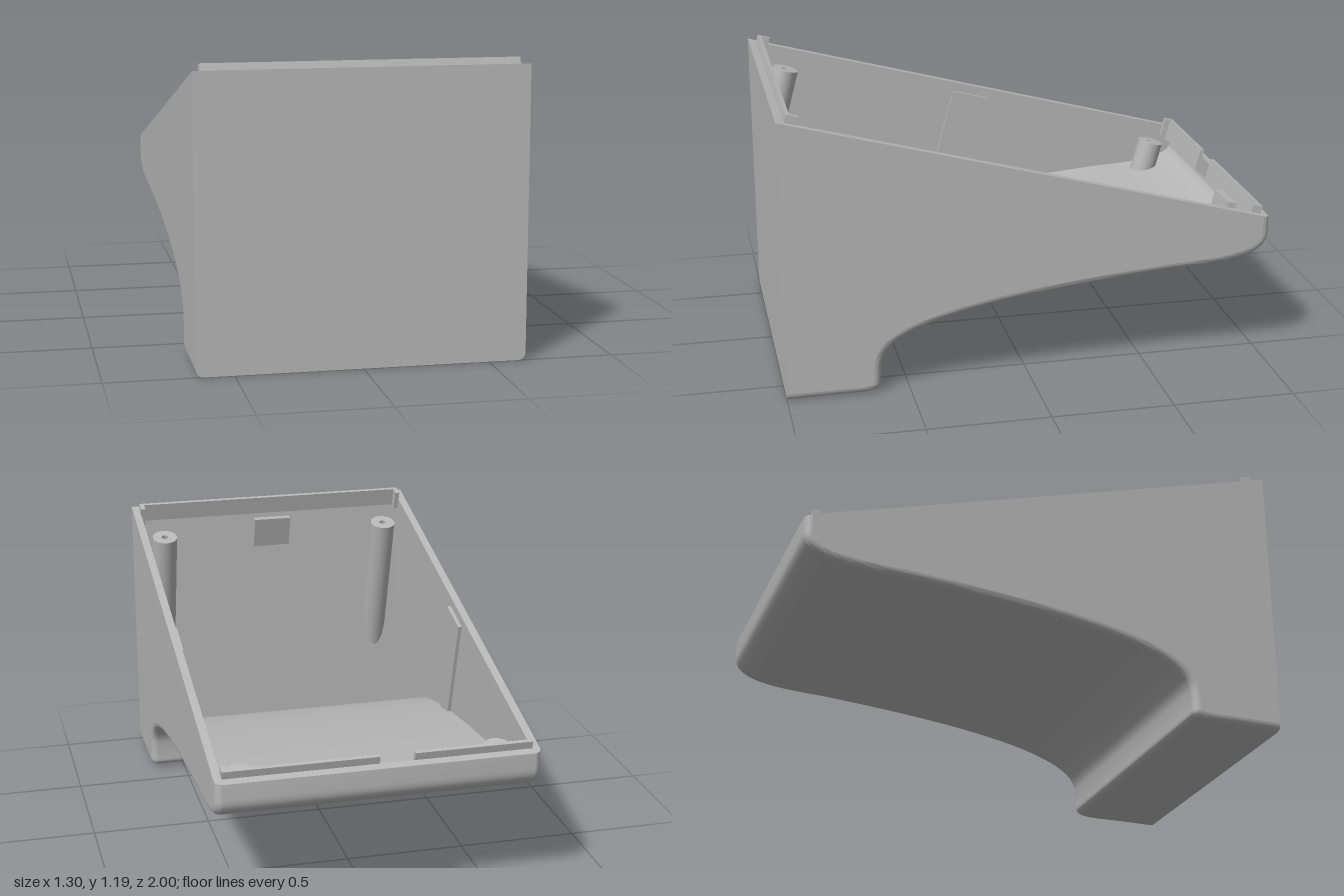
import * as THREE from 'three';
import { toCreasedNormals } from 'three/addons/utils/BufferGeometryUtils.js';

const HALF = 0.648, ROUND = 0.03, WALL = 0.033;
const INNER_X = HALF - WALL, INNER_Z = 1 - WALL;
const SLOPE = 0.2675, TILT = Math.atan(SLOPE);
const rimY = z => 0.895 + SLOPE * z;

// Underside curve in (z, y), from the front foot to the back rim
function undersidePoints() {
  const p = new THREE.Path();
  p.moveTo(1, 0);
  p.lineTo(0.85, 0.002);
  p.bezierCurveTo(0.70, 0.005, 0.615, -0.01, 0.62, 0.05);
  p.lineTo(0.615, 0.13);
  p.bezierCurveTo(0.60, 0.30, 0.05, 0.38, -0.6, 0.43);
  p.bezierCurveTo(-0.85, 0.44, -1, 0.46, -1, 0.56);
  p.lineTo(-1, rimY(-1));
  return p.getPoints(20);
}
const UNDERSIDE = undersidePoints();

// Underside moved inward by d, ending on the sloped rim
function inset(d, maxZ = 1) {
  const last = UNDERSIDE.length - 1;
  return UNDERSIDE.map((p, i) => {
    const a = UNDERSIDE[Math.max(i - 1, 0)], b = UNDERSIDE[Math.min(i + 1, last)];
    const t = b.clone().sub(a).normalize();
    const q = new THREE.Vector2(p.x + t.y * d, p.y - t.x * d);
    if (i === 0) q.x = 1;
    q.x = Math.min(q.x, maxZ);
    if (i === last) q.y = rimY(q.x);
    return q;
  });
}

// Skin through cross-sections given as [x, points in (z, y)]
function skin(sections) {
  const n = sections[0][1].length, pos = [], idx = [];
  for (const [x, pts] of sections) for (const p of pts) pos.push(x, p.y, p.x);
  for (let s = 0; s < sections.length - 1; s++) {
    for (let i = 0; i < n - 1; i++) {
      const a = s * n + i, b = a + n;
      idx.push(a, a + 1, b, b, a + 1, b + 1);
    }
  }
  const g = new THREE.BufferGeometry();
  g.setAttribute('position', new THREE.Float32BufferAttribute(pos, 3));
  g.setIndex(idx);
  return toCreasedNormals(g, 0.6);
}

// Flat face whose 2D corners are placed in space by a rule
function face(points, place, hole) {
  const shape = new THREE.Shape(points);
  if (hole) shape.holes.push(new THREE.Path(hole));
  const g = new THREE.ShapeGeometry(shape), p = g.attributes.position;
  for (let i = 0; i < p.count; i++) p.setXYZ(i, ...place(p.getX(i), p.getY(i)));
  g.computeVertexNormals();
  return g;
}

// Prism with a (z, y) outline, running from x0 to x1
function prism(outline, x0, x1) {
  const g = new THREE.ExtrudeGeometry(new THREE.Shape(outline.map(p => new THREE.Vector2(-p[0], p[1]))),
    { depth: x1 - x0, bevelEnabled: false });
  return g.rotateY(Math.PI / 2).translate(x0, 0, 0);
}

// Hollow screw post square to the rim, trimmed inside the shell
function post(x, y, z, length, maxZ, minY) {
  const pts = [[0, -0.08], [0.015, -0.08], [0.015, -0.08], [0.015, 0], [0.015, 0], [0.056, 0], [0.056, 0]];
  for (let i = 1; i <= 24; i++) pts.push([0.056, -length * i / 24]);
  const g = toCreasedNormals(new THREE.LatheGeometry(pts.map(p => new THREE.Vector2(...p)).reverse(), 32), 0.6);
  g.rotateX(-TILT).translate(x, y, z);
  const p = g.attributes.position;
  for (let i = 0; i < p.count; i++) {
    p.setZ(i, Math.min(p.getZ(i), maxZ));
    p.setY(i, Math.max(p.getY(i), minY));
  }
  return g;
}

export function createModel() {
  const model = new THREE.Group();
  model.name = 'slopedEnclosure';
  const grey = new THREE.MeshStandardMaterial({ color: 0xb8b8b8, side: THREE.DoubleSide });
  grey.name = 'grey plastic';
  const add = (name, geometry, parent = model) => {
    const m = new THREE.Mesh(geometry, grey);
    m.name = name;
    parent.add(m);
    return m;
  };
  const V = (x, y) => new THREE.Vector2(x, y);

  // Rounded cross-sections from one side to the other: [x, inset]
  const right = [];
  for (let k = 0; k <= 6; k++) {
    const a = k / 6 * Math.PI / 2;
    right.push([HALF - ROUND + ROUND * Math.sin(a), ROUND * (1 - Math.cos(a))]);
  }
  const across = [...right.map(([x, d]) => [-x, d]).reverse(), ...right];

  // Outer shell
  add('underside', skin(across.map(([x, d]) => [x, inset(d)])));
  add('frontPanel', face([...across.map(([x, d]) => V(x, d)), V(HALF, rimY(1)), V(-HALF, rimY(1))],
    (x, y) => [x, y, 1]));

  // Inner shell
  const inner = inset(WALL, INNER_Z);
  add('innerFloor', skin([[INNER_X, inner], [-INNER_X, inner]]));
  add('innerFrontWall', face([V(-INNER_X, WALL), V(INNER_X, WALL), V(INNER_X, rimY(INNER_Z)), V(-INNER_X, rimY(INNER_Z))],
    (x, y) => [x, y, INNER_Z]));

  // Side walls
  for (const s of [-1, 1]) {
    const side = s > 0 ? 'left' : 'right';
    add(side + 'OuterWall', face([...inset(ROUND), V(1, rimY(1))], (z, y) => [s * HALF, y, z]));
    add(side + 'InnerWall', face([...inner, V(INNER_Z, rimY(INNER_Z))], (z, y) => [s * INNER_X, y, z]));
  }

  // Sloped rim
  const backZ = -INNER_Z;
  add('rim', face([...across.map(([x, d]) => V(x, -1 + d)), V(HALF, 1), V(-HALF, 1)],
    (x, z) => [x, rimY(z), z],
    [V(-INNER_X, backZ), V(-INNER_X, INNER_Z), V(INNER_X, INNER_Z), V(INNER_X, backZ)]));

  // Parts square to the rim: locating lips and side ribs
  const slope = new THREE.Group();
  slope.name = 'rimParts';
  slope.position.y = 0.895;
  slope.rotation.x = -TILT;
  model.add(slope);
  const block = (name, x0, x1, y0, y1, z0, z1) => add(name,
    new THREE.BoxGeometry(x1 - x0, y1 - y0, z1 - z0)
      .translate((x0 + x1) / 2, (y0 + y1) / 2, (z0 + z1) / 2), slope);
  block('frontLip', -0.61, 0.61, -0.05, 0.033, 0.985, 1.0);
  block('backLip', -0.61, -0.14, -0.06, 0.033, -1.002, -0.985);
  block('backLip', 0, 0.61, -0.06, 0.033, -1.002, -0.985);
  for (const s of [-1, 1]) {
    const a = s > 0 ? 0.597 : -0.617, b = s > 0 ? 0.617 : -0.597;
    block('frontLipEnd', a, b, -0.05, 0.033, 0.948, 1.0);
    block('backLipEnd', a, b, -0.06, 0.033, -1.002, -0.96);
    const r0 = s > 0 ? 0.6 : -0.62, r1 = s > 0 ? 0.62 : -0.6;
    block('sideRib', r0, r1, -0.53, -0.04, -0.09, 0.075);
  }

  // Screw posts
  for (const x of [-0.52, 0.52]) {
    add('frontPost', post(x, 1.05, 0.85, 0.68, 0.98, 0.05));
    add('backPost', post(x, 0.6, -0.84, 0.2, 0.98, 0.455));
  }

  // Snap catches on the front and back walls
  add('frontCatch', prism([[0.97, 1.08], [0.925, 1.08], [0.97, 0.93]], -0.09, 0.08));
  add('backCatch', prism([[-0.975, 0.6], [-0.905, 0.615], [-0.88, 0.51], [-0.95, 0.5]], 0.23, 0.4));
  return model;
}
